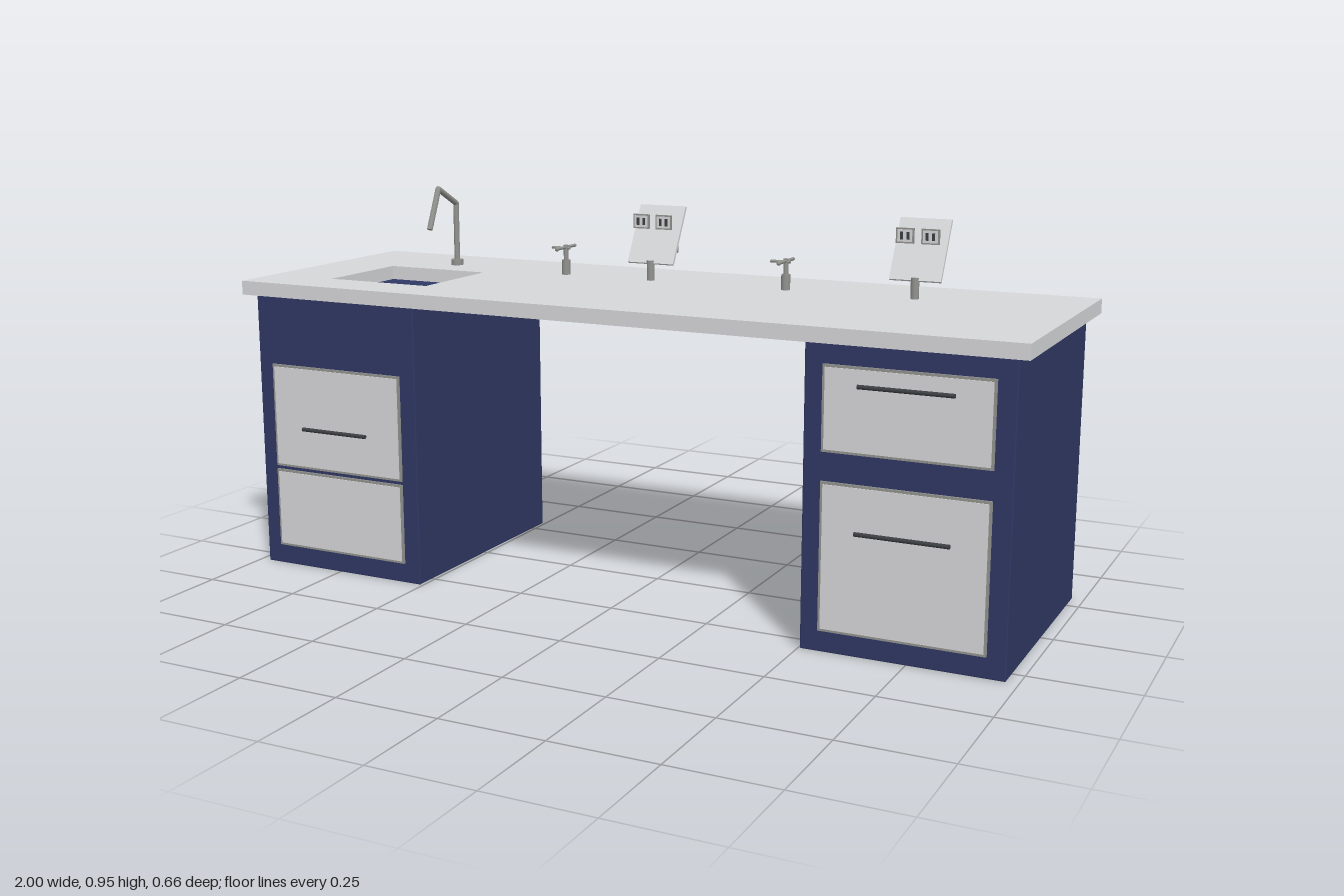
import * as THREE from 'three';
import { RoundedBoxGeometry } from 'three/addons/geometries/RoundedBoxGeometry.js';

const mat = (name, color) => Object.assign(new THREE.MeshStandardMaterial({ color }), { name });
const navy = mat('navy cabinet', 0x2f3863);
const light = mat('light grey laminate', 0xd6d7d9);
const metal = mat('brushed metal', 0x92938f);
const dark = mat('dark metal', 0x3c3e42);

function add(parent, name, geometry, material, x = 0, y = 0, z = 0) {
  const mesh = new THREE.Mesh(geometry, material);
  mesh.name = name;
  mesh.position.set(x, y, z);
  parent.add(mesh);
  return mesh;
}

function group(parent, name, x = 0, y = 0, z = 0) {
  const g = new THREE.Group();
  g.name = name;
  g.position.set(x, y, z);
  parent.add(g);
  return g;
}

const box = (w, h, d) => new THREE.BoxGeometry(w, h, d);

// Round bar between two points
function rod(parent, name, a, b, radius, material) {
  const from = new THREE.Vector3(...a), to = new THREE.Vector3(...b);
  const dir = to.clone().sub(from);
  const mesh = add(parent, name, new THREE.CylinderGeometry(radius, radius, dir.length(), 16), material);
  mesh.position.copy(from).add(to).multiplyScalar(0.5);
  mesh.quaternion.setFromUnitVectors(new THREE.Vector3(0, 1, 0), dir.normalize());
  return mesh;
}

// Worktop with a rectangular sink opening
function addWorktop(parent) {
  const shape = new THREE.Shape([[-1, -0.33], [1, -0.33], [1, 0.33], [-1, 0.33]]
    .map(([x, y]) => new THREE.Vector2(x, y)));
  shape.holes.push(new THREE.Path([[-0.818, -0.202], [-0.818, 0.065], [-0.535, 0.065], [-0.535, -0.202]]
    .map(([x, y]) => new THREE.Vector2(x, y))));
  const geometry = new THREE.ExtrudeGeometry(shape, { depth: 0.035, bevelEnabled: false });
  geometry.rotateX(-Math.PI / 2);
  add(parent, 'worktop', geometry, light, 0, 0.7, 0);
}

// Cabinet body with drawers given as [bottom, top, handle height or null]
function addCabinet(parent, name, x, drawers) {
  const cabinet = group(parent, name, x);
  add(cabinet, 'cabinetBody', new RoundedBoxGeometry(0.468, 0.7, 0.61, 2, 0.003), navy, 0, 0.35, 0);
  for (const [bottom, top, handleY] of drawers) {
    const h = top - bottom, y = (top + bottom) / 2;
    add(cabinet, 'drawerRim', box(0.382, h, 0.006), metal, 0, y, 0.307);
    add(cabinet, 'drawerFront', box(0.37, h - 0.012, 0.006), light, 0, y, 0.309);
    if (handleY === null) continue;
    const half = drawers.length && x < 0 ? 0.095 : 0.107;
    rod(cabinet, 'drawerHandle', [-half, handleY, 0.322], [half, handleY, 0.322], 0.005, dark);
    for (const s of [-1, 1]) {
      rod(cabinet, 'handleMount', [s * half * 0.85, handleY, 0.31], [s * half * 0.85, handleY, 0.322], 0.002, dark);
    }
  }
}

// Angular sink faucet
function addFaucet(parent) {
  const faucet = group(parent, 'faucet', -0.678, 0, 0);
  rod(faucet, 'faucetBase', [0, 0.735, -0.164], [0, 0.75, -0.164], 0.016, metal);
  const path = [[0, 0.75, -0.164], [0, 0.9, -0.164], [0, 0.944, -0.081], [0, 0.842, -0.036]];
  for (let i = 0; i < 3; i++) {
    rod(faucet, 'faucetPipe', path[i], path[i + 1], 0.0075, metal);
    if (i) add(faucet, 'faucetElbow', new THREE.SphereGeometry(0.0075, 16, 10), metal, ...path[i]);
  }
}

// Small service tap with a cross bar and a side lever
function addTap(parent, x) {
  const tap = group(parent, 'serviceTap', x, 0, -0.131);
  rod(tap, 'tapBase', [0, 0.735, 0], [0, 0.773, 0], 0.011, metal);
  rod(tap, 'tapNeck', [0, 0.773, 0], [0, 0.811, 0], 0.006, metal);
  rod(tap, 'tapBar', [0, 0.805, -0.048], [0, 0.805, 0.047], 0.004, metal);
  add(tap, 'tapNozzle', new THREE.SphereGeometry(0.0055, 12, 8), metal, 0, 0.805, 0.047);
  rod(tap, 'tapLever', [-0.04, 0.803, 0], [0.012, 0.803, 0], 0.0035, metal);
}

// Socket plate facing +z
function addSocket(parent, x, y, z, turn) {
  const socket = group(parent, 'socket', x, y, z);
  socket.rotation.y = turn;
  add(socket, 'socketPlate', box(0.044, 0.036, 0.005), metal);
  add(socket, 'socketFace', box(0.036, 0.029, 0.003), light, 0, 0, 0.002);
  for (const s of [-1, 1]) {
    add(socket, 'socketSlot', box(0.007, 0.018, 0.002), dark, s * 0.008, 0, 0.0035);
  }
}

// Tilted power panel on a post, with sockets in front and behind
function addPowerPanel(parent, x) {
  const unit = group(parent, 'powerPanel', x);
  rod(unit, 'panelPost', [0, 0.735, -0.131], [0, 0.785, -0.131], 0.01, metal);
  const panel = add(unit, 'panelBoard', box(0.126, 0.157, 0.008), light, 0, 0.846, -0.168);
  panel.rotation.x = -0.495;
  for (const s of [-1, 1]) {
    addSocket(unit, s * 0.031, 0.881, -0.142, 0);
    addSocket(unit, s * 0.031, 0.82, -0.178, Math.PI);
  }
}

export function createModel() {
  const model = new THREE.Group();
  model.name = 'laboratoryBench';
  addWorktop(model);
  addCabinet(model, 'sinkCabinet', -0.741, [[0.05, 0.252, null], [0.261, 0.525, 0.367]]);
  addCabinet(model, 'drawerCabinet', 0.738, [[0.05, 0.392, 0.286], [0.458, 0.652, 0.611]]);
  addFaucet(model);
  for (const x of [-0.326, 0.282]) addTap(model, x);
  for (const x of [-0.083, 0.607]) addPowerPanel(model, x);
  return model;
}
